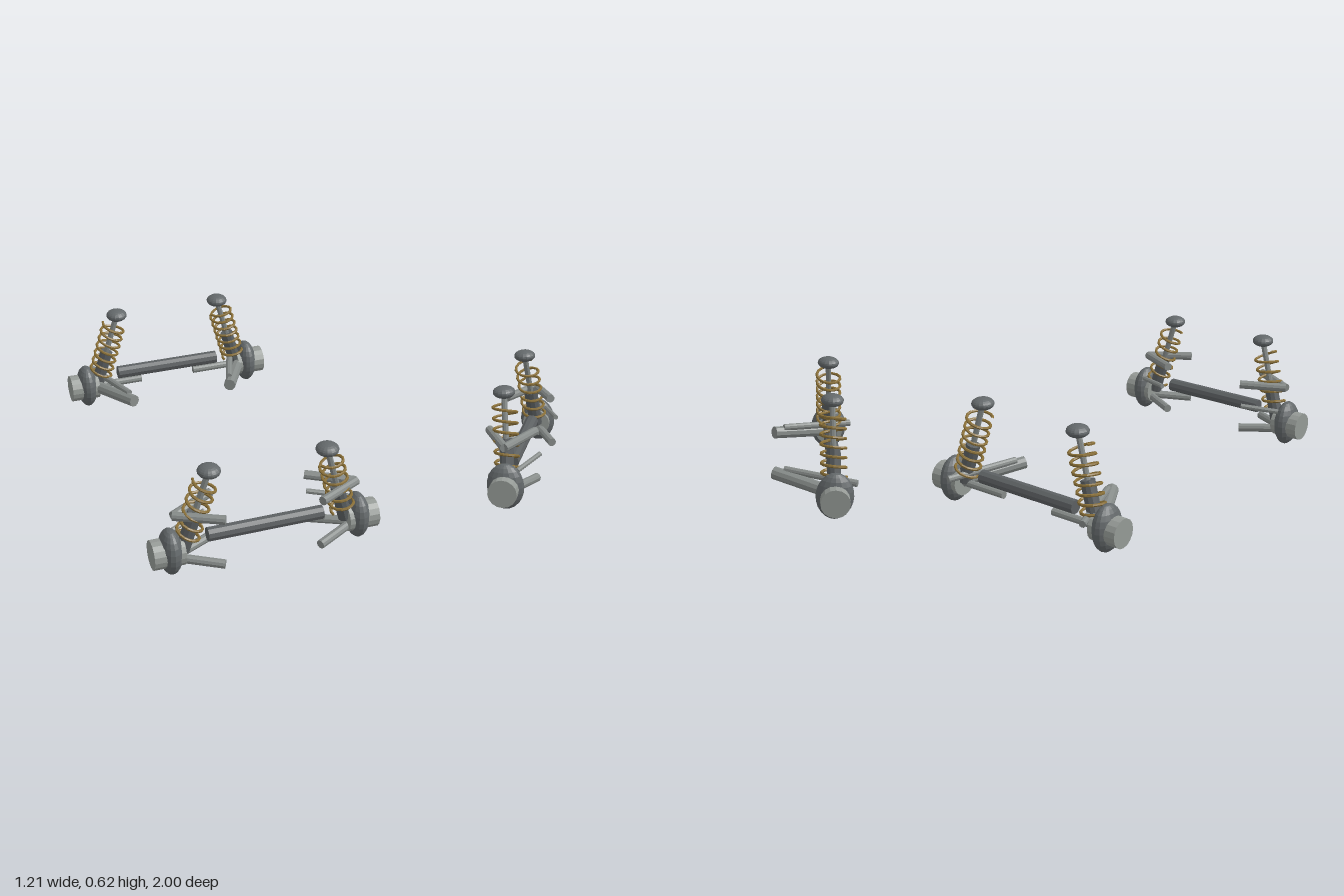
import * as THREE from 'three';

const mat = (name, color) => {
  const m = new THREE.MeshStandardMaterial({ color, flatShading: true });
  m.name = name;
  return m;
};

export function createModel() {
  const dark = mat('dark steel', 0x5c6062);
  const cast = mat('cast metal', 0x63686a);
  const arm = mat('arm steel', 0x858a88);
  const hubMat = mat('hub metal', 0x959a96);
  const gold = mat('spring gold', 0x8a7038);
  const V = (x, y, z) => new THREE.Vector3(x, y, z);
  const UP = V(0, 1, 0);
  const root = new THREE.Group();
  root.name = 'suspension';

  // Round bar between two points
  function bar(parent, name, a, b, r, material, sides = 10) {
    const d = b.clone().sub(a);
    const m = new THREE.Mesh(new THREE.CylinderGeometry(r, r, d.length(), sides), material);
    m.position.copy(a).add(b).multiplyScalar(0.5);
    m.quaternion.setFromUnitVectors(UP, d.normalize());
    m.name = name;
    parent.add(m);
  }

  // Squashed ball
  function ball(parent, name, p, rx, ry, rz, material) {
    const m = new THREE.Mesh(new THREE.SphereGeometry(1, 16, 12), material);
    m.scale.set(rx, ry, rz);
    m.position.copy(p);
    m.name = name;
    parent.add(m);
  }

  // Coil wound around the line from a (top) to b (bottom)
  function spring(parent, a, b, radius, turns) {
    const d = b.clone().sub(a);
    const q = new THREE.Quaternion().setFromUnitVectors(UP, d.clone().normalize());
    const pts = [];
    const n = turns * 14;
    for (let i = 0; i <= n; i++) {
      const t = (i / n) * turns * Math.PI * 2;
      pts.push(V(Math.cos(t) * radius, (i / n) * d.length(), Math.sin(t) * radius)
        .applyQuaternion(q).add(a));
    }
    const g = new THREE.TubeGeometry(new THREE.CatmullRomCurve3(pts), n, 0.008, 6);
    const m = new THREE.Mesh(g, gold);
    m.name = 'coilSpring';
    parent.add(m);
  }

  for (const front of [true, false]) {
    const z = front ? 0.855 : -0.872;
    const axle = new THREE.Group();
    axle.name = front ? 'frontAxle' : 'rearAxle';
    root.add(axle);
    bar(axle, 'crossBeam', V(-0.31, 0.188, z), V(0.31, 0.188, z), 0.038, dark);

    for (const s of [1, -1]) {
      const side = new THREE.Group();
      side.name = s > 0 ? 'leftCorner' : 'rightCorner';
      axle.add(side);

      // Wheel carrier
      ball(side, 'upright', V(s * 0.505, 0.131, z), 0.06, 0.128, 0.1, cast);
      bar(side, 'hub', V(s * 0.44, 0.127, z), V(s * 0.605, 0.127, z), 0.078, hubMat, 16);

      // Strut with spring
      const top = V(s * 0.31, 0.588, z + 0.025);
      const low = V(s * 0.44, 0.13, z);
      const at = f => top.clone().lerp(low, f);
      ball(side, 'topMount', top, 0.06, 0.033, 0.06, cast);
      bar(side, 'damperRod', top, at(0.6), 0.016, arm, 8);
      bar(side, 'damperBody', at(0.52), low, 0.038, dark);
      spring(side, at(0.14), at(0.88), front ? 0.063 : 0.066, front ? 6 : 7);

      if (front) {
        // Double wishbones and steering link
        for (const k of [1, -1]) {
          bar(side, 'upperArm', V(s * 0.49, 0.342, z), V(s * 0.255, 0.35, z + k * 0.125), 0.024, arm);
          bar(side, 'lowerArm', V(s * 0.49, 0.09, z), V(s * 0.255, 0.08, z + k * 0.125), 0.024, arm);
        }
        bar(side, 'tieRod', V(s * 0.48, 0.21, z - 0.06), V(s * 0.28, 0.227, 0.707), 0.014, arm, 8);
      } else {
        // Trailing arm and links
        bar(side, 'trailingArm', V(s * 0.46, 0.125, z), V(s * 0.295, 0.163, -0.555), 0.035, arm);
        bar(side, 'upperLink', V(s * 0.445, 0.178, -0.99), V(s * 0.31, 0.19, -0.61), 0.019, arm);
        bar(side, 'lateralLink', V(s * 0.49, 0.122, z), V(s * 0.165, 0.122, z), 0.021, arm);
      }
    }
  }
  return root;
}
